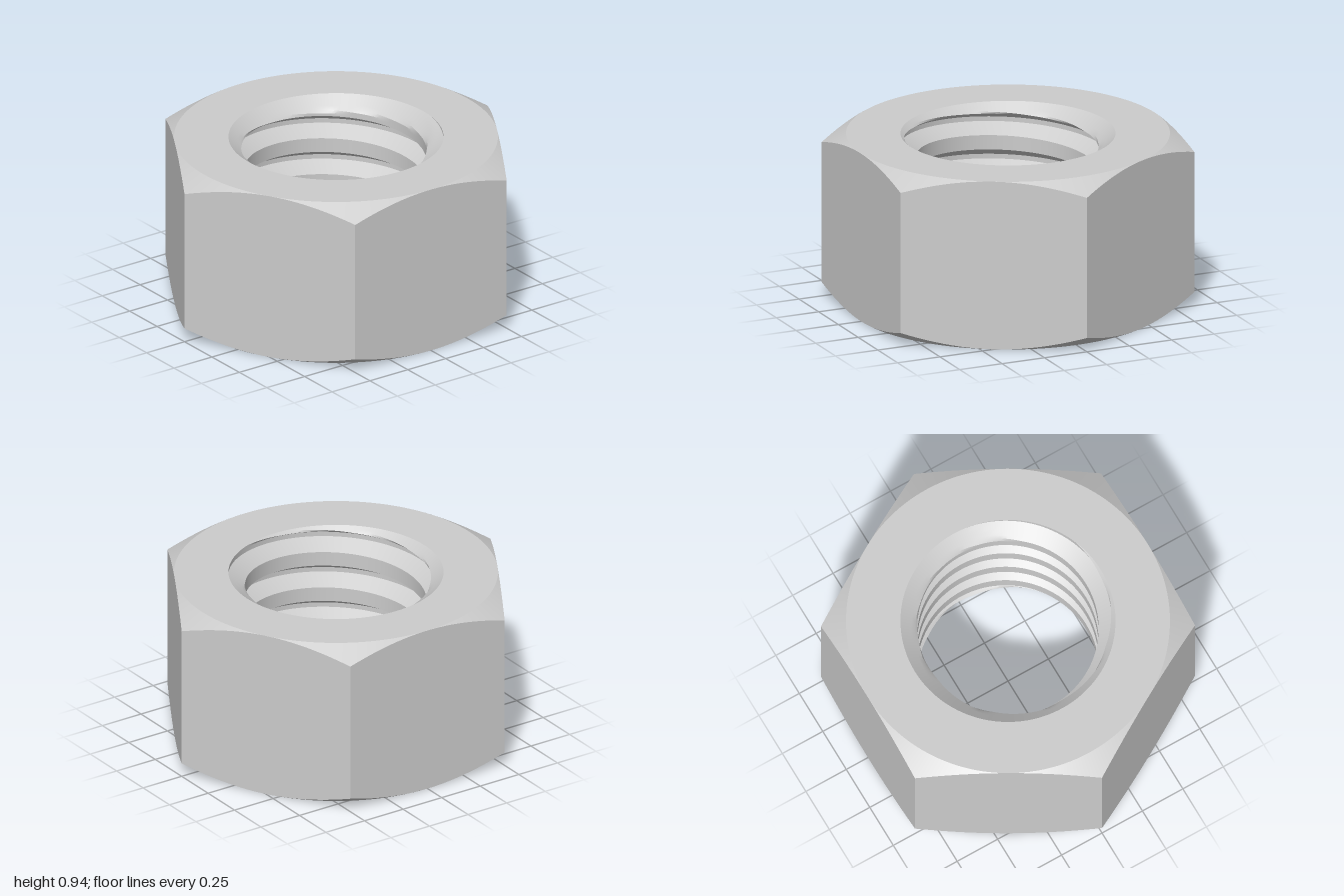
import * as THREE from 'three';
import { toCreasedNormals } from 'three/addons/utils/BufferGeometryUtils.js';

const H = 0.94;                 // nut height
const APOTHEM = Math.sqrt(3) / 2; // half width across flats (corners at radius 1)
const MINOR = 0.485;            // thread crest radius
const MAJOR = 0.575;            // thread root radius
const PITCH = 0.21;
const LEAD_IN = 0.07;           // depth of the countersink at each end
const SEGMENTS = 144;           // multiple of 6, so the corners are exact

// Surface from closed rings; point(row, angle) returns [radius, y]
function ringSurface(rows, point) {
  const positions = [];
  const index = [];
  for (let i = 0; i < rows; i++) {
    for (let j = 0; j <= SEGMENTS; j++) {
      const a = (j % SEGMENTS) / SEGMENTS * Math.PI * 2;
      const [r, y] = point(i, j / SEGMENTS * Math.PI * 2);
      positions.push(r * Math.cos(a), y, -r * Math.sin(a));
    }
  }
  const w = SEGMENTS + 1;
  for (let i = 0; i < rows - 1; i++) {
    for (let j = 0; j < SEGMENTS; j++) {
      const p = i * w + j;
      index.push(p, p + w, p + 1, p + 1, p + w, p + w + 1);
    }
  }
  const g = new THREE.BufferGeometry();
  g.setAttribute('position', new THREE.Float32BufferAttribute(positions, 3));
  g.setIndex(index);
  return toCreasedNormals(g, THREE.MathUtils.degToRad(22));
}

// Hexagonal outside: flat rings, conical corner chamfers and six flats
function bodyGeometry() {
  return ringSurface(6, (row, a) => {
    const sector = Math.PI / 3;
    const hex = APOTHEM / Math.cos((a % sector) - sector / 2);
    const drop = (hex - APOTHEM) * Math.tan(Math.PI / 6);
    return [
      [MAJOR, H], [APOTHEM, H], [hex, H - drop],
      [hex, drop], [APOTHEM, 0], [MAJOR, 0],
    ][row];
  });
}

// Helical 60 degree thread, cut by a countersink at both ends
function boreGeometry() {
  const flank = (MAJOR - MINOR) * Math.tan(Math.PI / 6);
  const root = 0.013;
  // one pitch of the profile: [height from groove centre, radius]
  const profile = [
    [-root - flank, MINOR], [-root, MAJOR], [root, MAJOR],
    [root + flank, MINOR], [PITCH - root - flank, MINOR],
  ];
  const SUB = 5;
  const perTurn = (profile.length - 1) * SUB;
  const turns = 7;
  return ringSurface(turns * perTurn + 1, (row, a) => {
    const turn = Math.floor(row / perTurn);
    const k = row % perTurn;
    const [y0, r0] = profile[Math.floor(k / SUB)];
    const [y1, r1] = profile[Math.floor(k / SUB) + 1];
    const t = (k % SUB) / SUB;
    const rise = 0.117 + PITCH * (turn - 2 + a / (Math.PI * 2));
    const y = THREE.MathUtils.clamp(rise + y0 + (y1 - y0) * t, 0, H);
    const thread = r0 + (r1 - r0) * t;
    const countersink = MAJOR - (MAJOR - MINOR) * Math.min(y, H - y) / LEAD_IN;
    return [Math.max(thread, countersink), y];
  });
}

export function createModel() {
  const group = new THREE.Group();
  group.name = 'hexNut';
  const material = new THREE.MeshStandardMaterial({ color: 0xcccccc });

  const body = new THREE.Mesh(bodyGeometry(), material);
  body.name = 'hexBody';
  const bore = new THREE.Mesh(boreGeometry(), material);
  bore.name = 'threadedBore';

  group.add(body, bore);
  return group;
}
